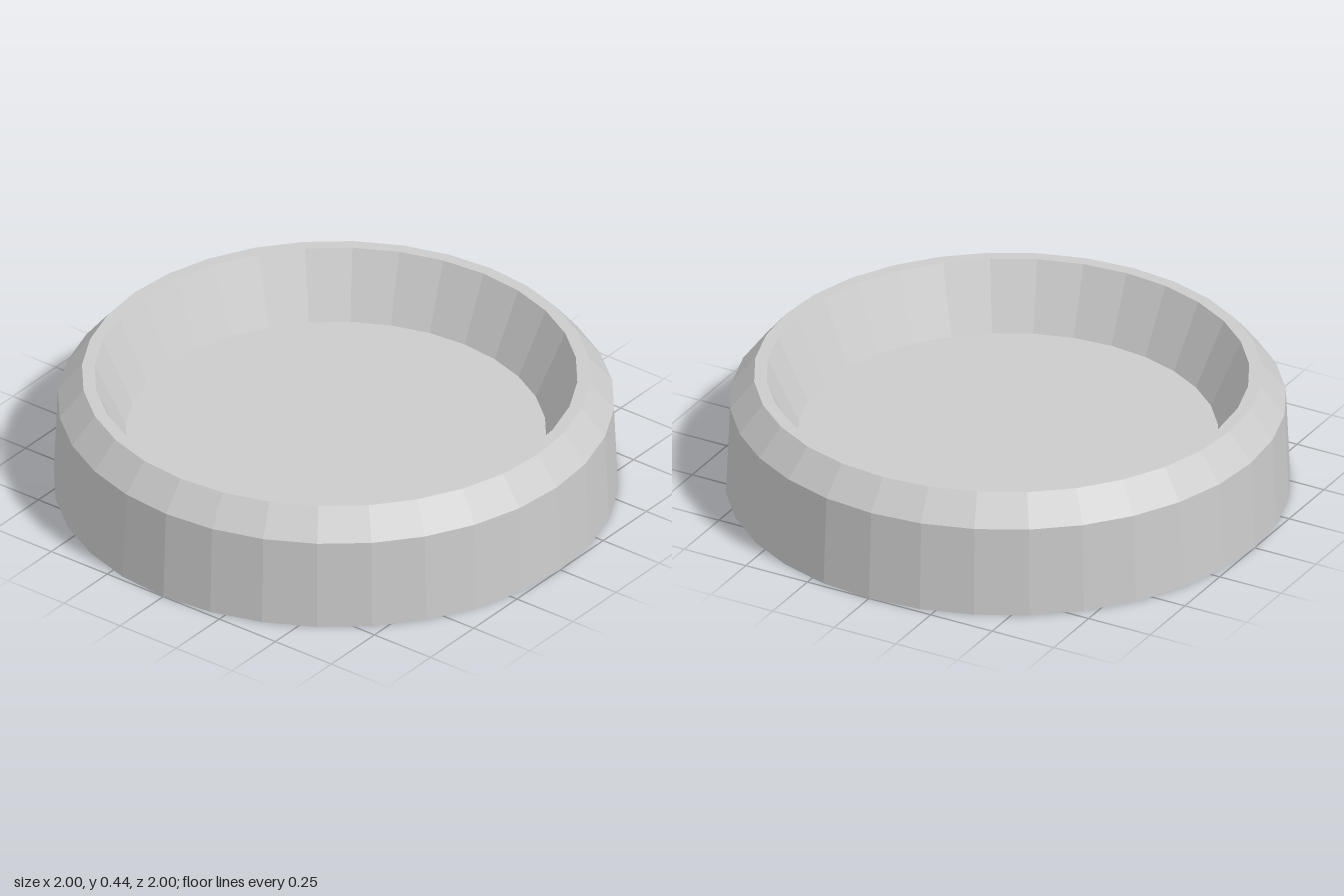
import * as THREE from 'three';

const SIDES = 32;

export function createModel() {
  const model = new THREE.Group();
  model.name = 'dish';
  const material = new THREE.MeshStandardMaterial({ color: 0xcccccc, flatShading: true });

  // Closed profile (radius, height), from the middle of the base round to the middle of the floor
  const profile = [
    [0, 0],        // base centre
    [1, 0],        // foot
    [0.985, 0.335], // shoulder, wall leaning slightly inward
    [0.9, 0.44],   // outer edge of the rim
    [0.855, 0.44], // inner edge of the rim
    [0.745, 0.2],  // edge of the sunken floor
    [0, 0.2],      // floor centre
  ].map(([r, y]) => new THREE.Vector2(r, y));

  const body = new THREE.Mesh(new THREE.LatheGeometry(profile, SIDES), material);
  body.name = 'dishBody';
  model.add(body);
  return model;
}
